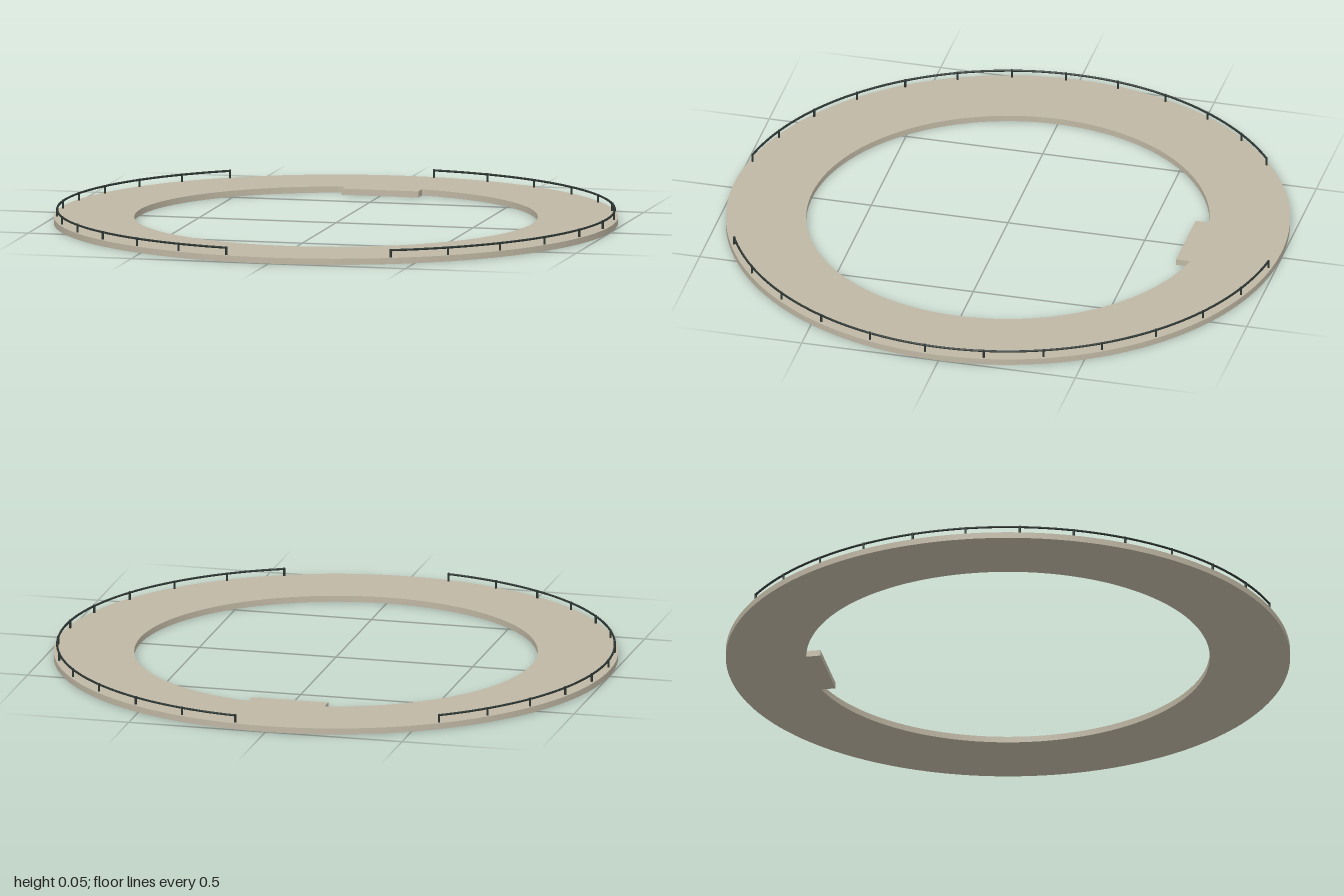
import * as THREE from 'three';
import { toCreasedNormals } from 'three/addons/utils/BufferGeometryUtils.js';

const PLATE_H = 0.022, RAIL_R = 0.988, RAIL_Y = 0.048, TUBE = 0.004;
const rad = THREE.MathUtils.degToRad;

export function createModel() {
  const model = new THREE.Group();
  model.name = 'ringPlatform';
  const deckMat = new THREE.MeshStandardMaterial({ color: 0xbfb7a4 });
  const railMat = new THREE.MeshStandardMaterial({ color: 0x2c3632 });

  // Flat ring deck; the opening has a small rectangular landing at the back
  const inner = 0.715, tabX = 0.14, tabZ = 0.65;
  const a = Math.acos(tabX / inner);
  const shape = new THREE.Shape().absarc(0, 0, 1, 0, Math.PI * 2, false);
  const hole = new THREE.Path();
  hole.absarc(0, 0, inner, a, Math.PI - a, true);
  hole.lineTo(-tabX, tabZ);
  hole.lineTo(tabX, tabZ);
  hole.closePath();
  shape.holes.push(hole);
  const deckGeo = new THREE.ExtrudeGeometry(shape, {
    depth: PLATE_H, bevelEnabled: false, curveSegments: 96,
  });
  deckGeo.rotateX(-Math.PI / 2);
  const deck = new THREE.Mesh(toCreasedNormals(deckGeo, rad(30)), deckMat);
  deck.name = 'deck';
  model.add(deck);

  // Curved handrail on evenly spaced posts; angles run from +x towards +z
  function addRailing(name, startDeg, endDeg, spans = 12) {
    const group = new THREE.Group();
    group.name = name;
    const start = rad(startDeg), arc = rad(endDeg - startDeg);
    const railGeo = new THREE.TorusGeometry(RAIL_R, TUBE, 8, 96, arc);
    railGeo.rotateZ(start).rotateX(Math.PI / 2);
    const rail = new THREE.Mesh(railGeo, railMat);
    rail.name = 'handrail';
    rail.position.y = RAIL_Y;
    group.add(rail);

    const postH = RAIL_Y + TUBE - PLATE_H;
    const postGeo = new THREE.CylinderGeometry(TUBE, TUBE, postH, 8);
    for (let i = 0; i <= spans; i++) {
      const t = start + (arc * i) / spans;
      const post = new THREE.Mesh(postGeo, railMat);
      post.name = 'post';
      post.position.set(RAIL_R * Math.cos(t), PLATE_H + postH / 2, RAIL_R * Math.sin(t));
      group.add(post);
    }
    model.add(group);
  }
  addRailing('leftRailing', -83.3, 64.8);
  addRailing('rightRailing', 99.3, 233.8);

  return model;
}
